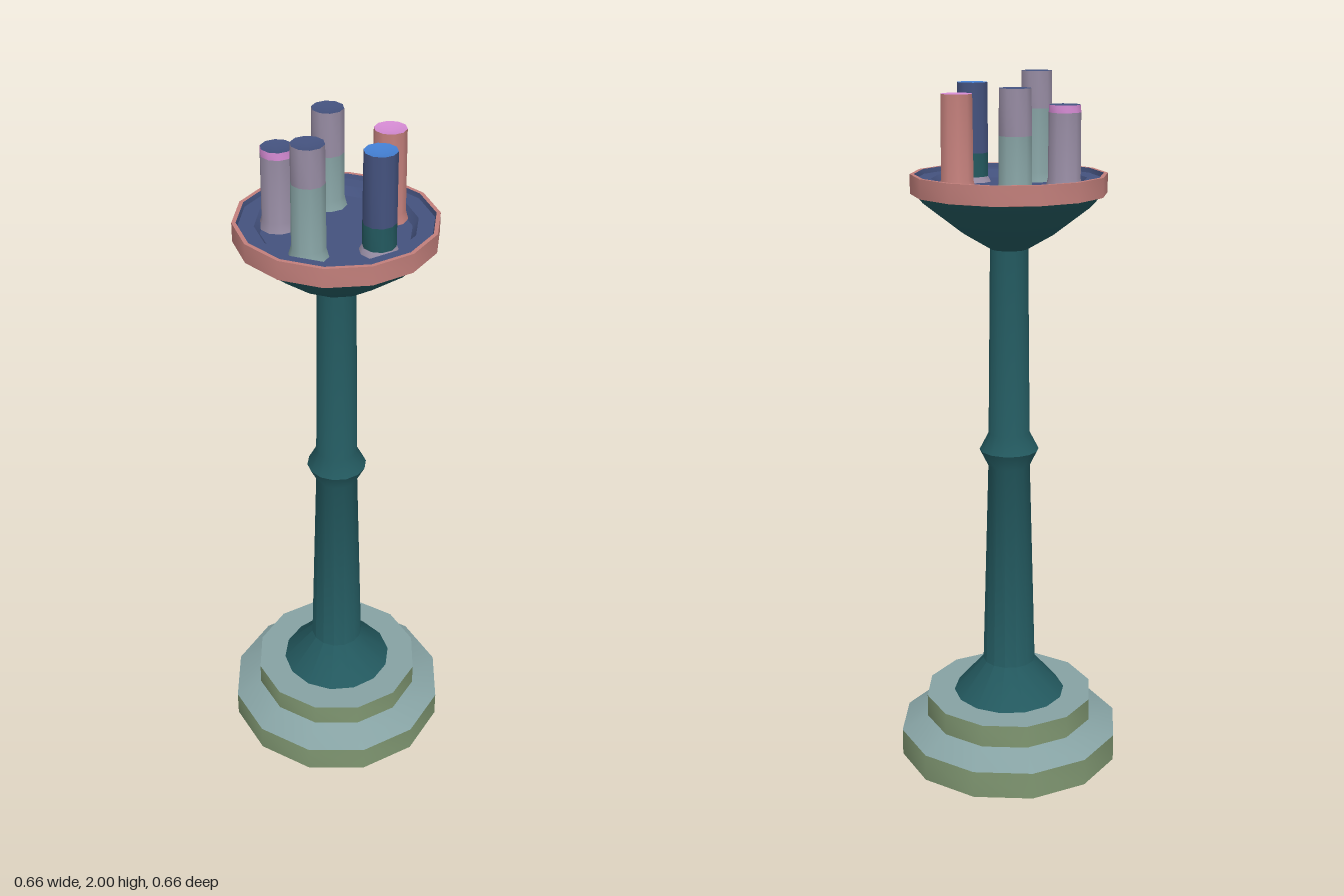
import * as THREE from 'three';
import { toCreasedNormals } from 'three/addons/utils/BufferGeometryUtils.js';

const material = (name, color) => {
  const m = new THREE.MeshStandardMaterial({ color });
  m.name = name;
  return m;
};

export function createModel() {
  const sage = material('sage green', 0x7f9671);
  const pale = material('pale blue grey', 0x86a2a3);
  const teal = material('deep teal', 0x23595f);
  const coral = material('coral pink', 0xc27f7b);
  const navy = material('navy', 0x44527e);
  const lilac = material('lilac grey', 0x978ca3);
  const orchid = material('orchid', 0xd48ad2);
  const blue = material('bright blue', 0x437fd3);

  const model = new THREE.Group();
  model.name = 'candleStand';

  // Turned part: profile of [radius, height], with a corner on the x axis
  const turned = (name, mat, sides, profile, parent = model) => {
    const points = profile.map(([r, y]) => new THREE.Vector2(r, y));
    const geometry = new THREE.LatheGeometry(points, sides, Math.PI / 2);
    const mesh = new THREE.Mesh(toCreasedNormals(geometry, 0.7), mat);
    mesh.name = name;
    parent.add(mesh);
    return mesh;
  };

  // Two-tier foot
  turned('footLowerTier', sage, 12, [[0, 0], [0.328, 0], [0.328, 0.08]]);
  turned('footSlope', pale, 12, [[0.328, 0.08], [0.25, 0.12]]);
  turned('footUpperTier', sage, 12, [[0.25, 0.12], [0.25, 0.187]]);
  turned('footTop', pale, 12, [[0.25, 0.187], [0.14, 0.187]]);

  // Stem with flared bottom and collar, and the bowl above it
  turned('stem', teal, 14, [
    [0.165, 0.187], [0.077, 0.29], [0.06, 0.9], [0.085, 0.95],
    [0.059, 1.0], [0.053, 1.53],
  ]);
  turned('bowl', teal, 14, [[0.053, 1.53], [0.13, 1.575], [0.235, 1.655], [0.258, 1.68]]);

  // Rim band and the stepped tray inside
  turned('rim', coral, 14, [[0.258, 1.68], [0.27, 1.682], [0.27, 1.735], [0.259, 1.735]]);
  turned('tray', navy, 14, [
    [0.259, 1.735], [0.256, 1.722], [0.213, 1.722], [0.198, 1.7], [0, 1.7],
  ]);

  // Candles: colour bands run from the tray upwards, each [material, top height]
  const candles = [
    { bands: [[lilac, 1.715], [teal, 1.78], [navy, 1.97]], tip: blue },
    { bands: [[pale, 1.9], [lilac, 2.0]], tip: navy },
    { bands: [[lilac, 1.9], [orchid, 1.92]], tip: navy },
    { bands: [[pale, 1.85], [lilac, 1.97]], tip: navy },
    { bands: [[coral, 1.95]], tip: orchid },
  ];
  candles.forEach(({ bands, tip }, i) => {
    const candle = new THREE.Group();
    candle.name = `candle${i + 1}`;
    const angle = (i * Math.PI * 2) / 5;
    candle.position.set(0.152 * Math.cos(angle), 0, 0.152 * Math.sin(angle));
    model.add(candle);

    let bottom = 1.7;
    bands.forEach(([mat, top], j) => {
      const profile = [[j ? 0.044 : 0.052, bottom]];
      if (j === 0 && top > 1.73) profile.push([0.045, 1.725]);
      profile.push([j === bands.length - 1 ? 0.043 : 0.044, top]);
      turned('candleBand', mat, 10, profile, candle);
      bottom = top;
    });
    turned('candleTip', tip, 10, [[0.043, bottom], [0, bottom - 0.008]], candle);
  });

  return model;
}
